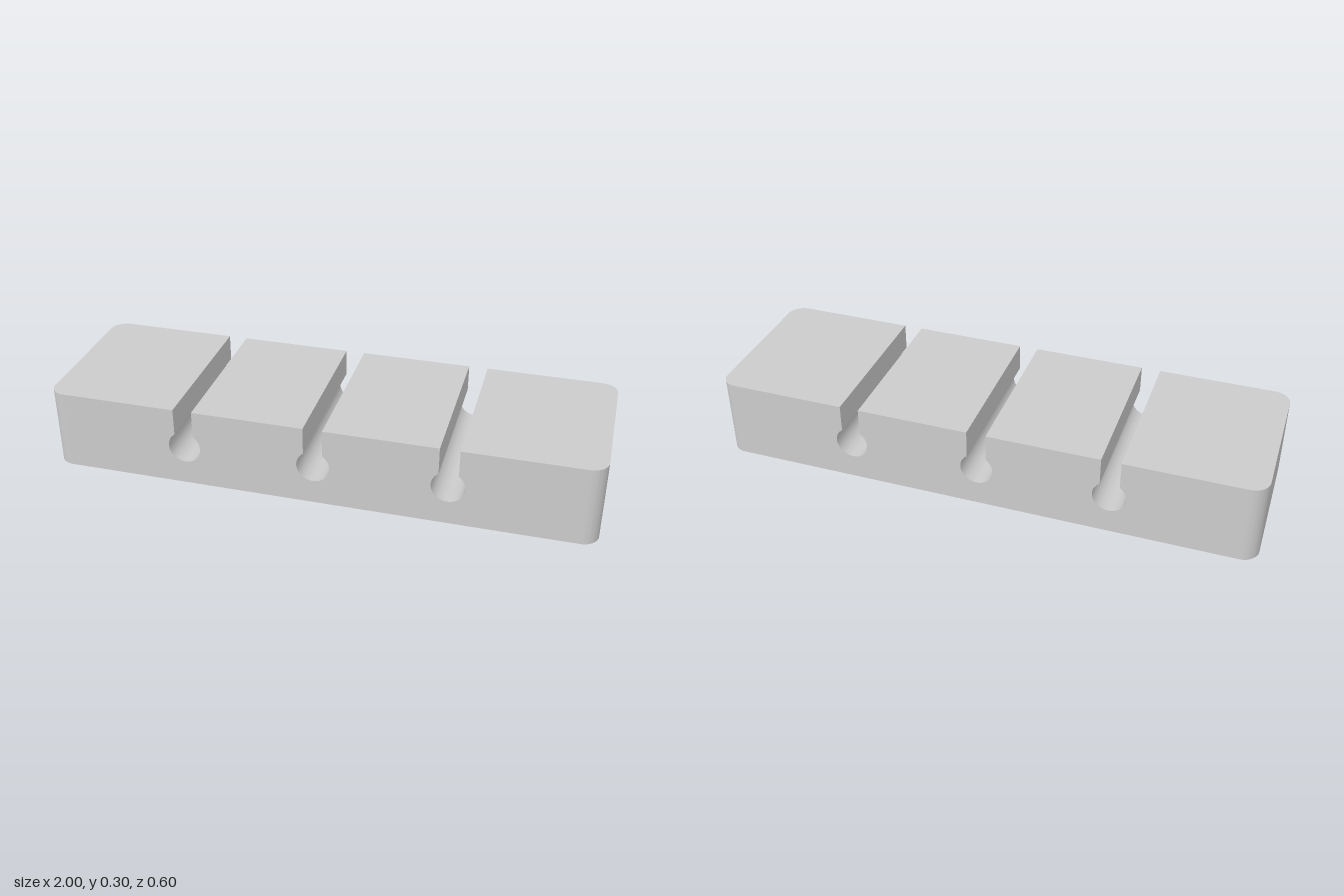
import * as THREE from 'three';
import { mergeGeometries, toCreasedNormals } from 'three/addons/utils/BufferGeometryUtils.js';

const H = 0.3, HALF_DEPTH = 0.3, CORNER = 0.06, SEAM = 1 - CORNER;
const SLOT_X = [0.48, 0, -0.48], SLOT_HALF = 0.035, HOLE_R = 0.06, HOLE_Y = 0.15;

// Remove the walls where the core meets its rounded ends, leaving one closed skin
function withoutSeamWalls(geometry) {
  const g = geometry.index ? geometry.toNonIndexed() : geometry;
  const p = g.attributes.position, kept = [];
  for (let i = 0; i < p.count; i += 3) {
    const tri = [i, i + 1, i + 2];
    const liesOn = x => tri.every(k => Math.abs(p.getX(k) - x) < 1e-5);
    if (liesOn(SEAM) || liesOn(-SEAM)) continue;
    for (const k of tri) kept.push(p.getX(k), p.getY(k), p.getZ(k));
  }
  return new THREE.BufferGeometry().setAttribute('position', new THREE.Float32BufferAttribute(kept, 3));
}

// Block profile with keyhole slots open at the top, run from front to back
function slottedCore() {
  const s = new THREE.Shape();
  const a = Math.asin(SLOT_HALF / HOLE_R), neckY = HOLE_Y + HOLE_R * Math.cos(a);
  s.moveTo(-SEAM, 0).lineTo(SEAM, 0).lineTo(SEAM, H);
  for (const x of SLOT_X) {
    s.lineTo(x + SLOT_HALF, H).lineTo(x + SLOT_HALF, neckY);
    s.absarc(x, HOLE_Y, HOLE_R, Math.PI / 2 - a, Math.PI / 2 + a - 2 * Math.PI, true);
    s.lineTo(x - SLOT_HALF, H);
  }
  s.lineTo(-SEAM, H).lineTo(-SEAM, 0);
  return new THREE.ExtrudeGeometry(s, { depth: 2 * HALF_DEPTH, bevelEnabled: false, curveSegments: 40 })
    .translate(0, 0, -HALF_DEPTH);
}

// End strip with two rounded upright corners
function roundedEnd() {
  const z = HALF_DEPTH - CORNER, s = new THREE.Shape();
  s.moveTo(SEAM, -HALF_DEPTH);
  s.absarc(SEAM, -z, CORNER, -Math.PI / 2, 0, false);
  s.absarc(SEAM, z, CORNER, 0, Math.PI / 2, false);
  s.lineTo(SEAM, -HALF_DEPTH);
  return new THREE.ExtrudeGeometry(s, { depth: H, bevelEnabled: false, curveSegments: 24 })
    .rotateX(-Math.PI / 2);
}

export function createModel() {
  const parts = [slottedCore(), roundedEnd(), roundedEnd().rotateY(Math.PI)].map(withoutSeamWalls);
  const block = new THREE.Mesh(
    toCreasedNormals(mergeGeometries(parts), 0.5),
    new THREE.MeshStandardMaterial({ color: 0xcccccc })
  );
  block.name = 'slottedBlock';
  const model = new THREE.Group();
  model.name = 'cableHolder';
  model.add(block);
  return model;
}
